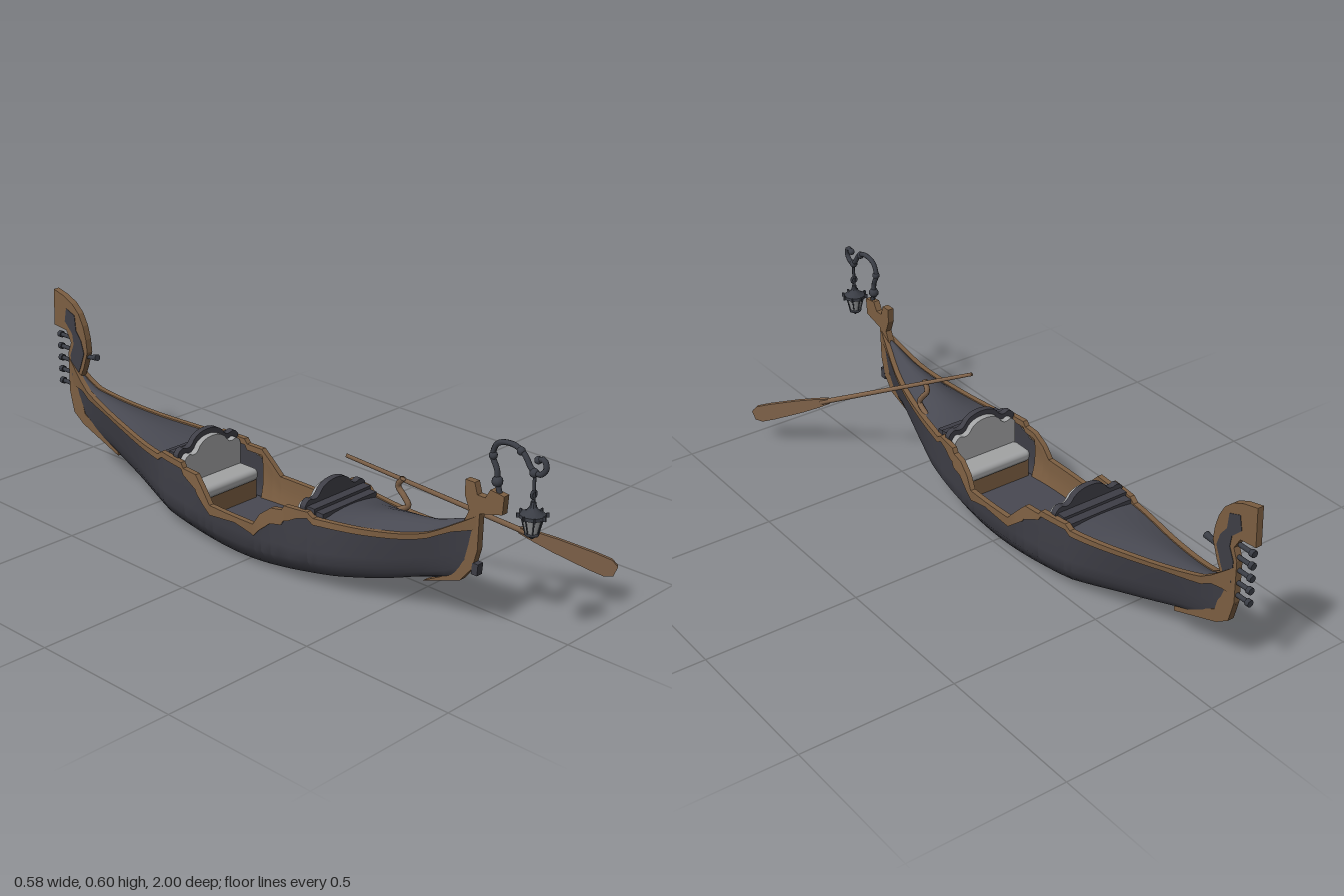
import * as THREE from 'three';
import { toCreasedNormals } from 'three/addons/utils/BufferGeometryUtils.js';
import { RoundedBoxGeometry } from 'three/addons/geometries/RoundedBoxGeometry.js';

const mat = (name, color) => new THREE.MeshStandardMaterial({ name, color, side: THREE.DoubleSide });
const V = (x, y, z) => new THREE.Vector3(x, y, z);

// piecewise linear and smooth interpolation through [position, value] pairs
const linear = (p) => (z) => {
  if (z <= p[0][0]) return p[0][1];
  for (let i = 1; i < p.length; i++) if (z <= p[i][0]) {
    return p[i - 1][1] + (p[i][1] - p[i - 1][1]) * (z - p[i - 1][0]) / (p[i][0] - p[i - 1][0]);
  }
  return p[p.length - 1][1];
};
const smooth = (p) => {
  const n = p.length - 1;
  const m = p.map((_, i) => {
    const a = p[Math.max(0, i - 1)], b = p[Math.min(n, i + 1)];
    return (b[1] - a[1]) / (b[0] - a[0]);
  });
  return (z) => {
    let i = 0;
    while (i < n - 1 && z > p[i + 1][0]) i++;
    const h = p[i + 1][0] - p[i][0], t = Math.min(1, Math.max(0, (z - p[i][0]) / h));
    return (1 + 2 * t) * (1 - t) ** 2 * p[i][1] + t * (1 - t) ** 2 * h * m[i]
      + t * t * (3 - 2 * t) * p[i + 1][1] - t * t * (1 - t) * h * m[i + 1];
  };
};

// surface through rows of cross-section points
function loft(rows, crease) {
  const pos = [], idx = [], c = rows[0].length;
  rows.forEach((r) => r.forEach((p) => pos.push(p.x, p.y, p.z)));
  for (let i = 0; i < rows.length - 1; i++) for (let j = 0; j < c - 1; j++) {
    const a = i * c + j, b = a + 1, d = a + c, e = d + 1;
    idx.push(a, b, d, b, e, d);
  }
  const g = new THREE.BufferGeometry();
  g.setAttribute('position', new THREE.Float32BufferAttribute(pos, 3));
  g.setIndex(idx);
  g.computeVertexNormals();
  return crease ? toCreasedNormals(g, crease) : g;
}

// flat plate cut in the side plane, points given as [z, y]
function plate(pts, t) {
  const s = new THREE.Shape(pts.map((p) => new THREE.Vector2(p[0], p[1])));
  return new THREE.ExtrudeGeometry(s, { depth: t, bevelEnabled: false }).rotateY(-Math.PI / 2).translate(t / 2, 0, 0);
}

// hull lines: half width, keel, sheer, sheer steps, trim depth
const W = smooth([[-.93, .007], [-.8, .032], [-.6, .077], [-.4, .125], [-.2, .148], [0, .157], [.2, .147], [.4, .11], [.6, .062], [.78, .008]]);
const K = smooth([[-.93, .25], [-.88, .175], [-.7, .11], [-.55, .07], [-.28, .02], [0, .002], [.25, .03], [.46, .07], [.6, .115], [.74, .17], [.78, .25]]);
const S = smooth([[-.93, .38], [-.87, .33], [-.82, .295], [-.6, .255], [-.3, .235], [0, .23], [.3, .235], [.47, .245], [.63, .275], [.74, .335], [.78, .36]]);
const steps = [[-.37, 0], [-.35, .015], [-.25, .015], [-.24, 0], [-.18, 0], [-.145, -.035], [-.11, -.073], [.075, -.073], [.1, -.035], [.14, -.005], [.18, 0], [.19, .015], [.27, .015], [.29, 0]];
const D = linear(steps);
const T = linear([[-.93, .1], [-.86, .03], [-.7, .016], [-.24, .02], [-.17, .05], [-.1, .03], [0, .018], [.06, .03], [.1, .05], [.2, .045], [.25, .02], [.7, .016], [.78, .04]]);
const G = (z) => S(z) + D(z);
const section = linear([[0, 0], [.07, .74], [.3, .96], [.62, 1], [1, .95]]);
function halfWidth(z, y) {
  const f = Math.max(0, (y - K(z)) / (S(z) - K(z)));
  const e = Math.min(1, Math.max(0, (Math.abs(z) - .35) / .45));
  return W(z) * (section(Math.min(1, f)) * (1 - e) + Math.min(1, f) ** .6 * e);
}
function stations(a, b) {
  const list = [a, b, ...steps.map((s) => s[0])];
  for (let z = -.92; z < .78; z += .034) list.push(z);
  return list.filter((z) => z >= a && z <= b).sort((p, q) => p - q);
}

export function createModel() {
  const root = new THREE.Group();
  root.name = 'gondola';
  root.position.x = -.13;
  const dark = mat('dark paint', 0x3e3e46), deckGrey = mat('deck grey', 0x484952);
  const wood = mat('brown wood', 0x7d5f42), oarWood = mat('oar wood', 0x80634a);
  const metal = mat('dark metal', 0x3a3d45), cushion = mat('pale cushion', 0xa2a3a4), glass = mat('lantern glass', 0x97999b);
  const add = (name, geo, m, parent = root) => {
    const mesh = new THREE.Mesh(geo, m);
    mesh.name = name;
    parent.add(mesh);
    return mesh;
  };

  // hull shell
  add('hull', loft(stations(-.93, .78).map((z) => {
    const top = (G(z) - T(z) - K(z)) / (S(z) - K(z));
    const half = [.07, .18, .3, .48].map((f) => Math.min(f, top * .95)).concat(top)
      .map((f) => { const y = K(z) + f * (S(z) - K(z)); return V(halfWidth(z, y), y, z); });
    return [...half.slice().reverse().map((p) => V(-p.x, p.y, z)), V(0, K(z), z), ...half];
  })), dark);

  // gunwale trim and inner side panels
  for (const s of [1, -1]) {
    add('gunwaleTrim', loft(stations(-.93, .78).map((z) => {
      const y = G(z), x = halfWidth(z, y), inner = Math.max(0, x - .013);
      return [V(s * (halfWidth(z, y - T(z)) + .001), y - T(z), z), V(s * (halfWidth(z, y - T(z)) + .004), y - T(z), z),
        V(s * (x + .004), y, z), V(s * inner, y, z), V(s * inner, y - .02, z)];
    }), .6), wood);
    add('innerPanel', loft(stations(-.18, .14).map((z) => [0, .33, .66, 1].map((t) => {
      const y = .065 + (G(z) - .065) * t;
      return V(s * (halfWidth(z, y) - .013), y, z);
    }))), wood);
  }

  // crowned decks
  const crown = smooth([[-.93, 0], [-.6, .012], [-.3, .008], [.25, .008], [.5, .035], [.65, .028], [.78, 0]]);
  for (const [name, a, b] of [['rearDeck', -.93, -.3], ['frontDeck', .25, .78]]) {
    add(name, loft(stations(a, b).map((z) => [-1, -.6, -.25, 0, .25, .6, 1].map((u) =>
      V(u * Math.max(0, halfWidth(z, S(z)) - .011), S(z) - .005 + crown(z) * (1 - u * u), z)))), deckGrey);
  }

  // cockpit floor
  add('floor', loft(stations(-.3, .26).map((z) => [-1, 1].map((u) => V(u * (halfWidth(z, .07) - .006), .07, z)))), deckGrey);

  // two facing benches with wavy backrests
  const wavy = (w, h, low) => {
    const s = new THREE.Shape();
    s.moveTo(-w, low);
    s.lineTo(w, low);
    s.lineTo(w, h - .052);
    s.quadraticCurveTo(w * .92, h - .034, w * .8, h - .036);
    s.quadraticCurveTo(w * .6, h - .05, w * .46, h - .02);
    s.quadraticCurveTo(w * .3, h, 0, h);
    s.quadraticCurveTo(-w * .3, h, -w * .46, h - .02);
    s.quadraticCurveTo(-w * .6, h - .05, -w * .8, h - .036);
    s.quadraticCurveTo(-w * .92, h - .034, -w, h - .052);
    return s;
  };
  for (const [name, z, turn] of [['rearBench', -.29, 0], ['frontBench', .245, Math.PI]]) {
    const b = new THREE.Group();
    b.name = name;
    b.position.z = z;
    b.rotation.y = turn;
    root.add(b);
    const ex = (d) => ({ depth: d, bevelEnabled: false, curveSegments: 6 });
    add('backrest', new THREE.ExtrudeGeometry(wavy(.125, .31, .1), ex(.02)).translate(0, 0, -.01), dark, b);
    add('backCushion', new THREE.ExtrudeGeometry(wavy(.115, .293, .14), ex(.02)).translate(0, 0, .01), cushion, b);
    add('seatCushion', new RoundedBoxGeometry(.244, .04, .085, 3, .016).translate(0, .15, .065), cushion, b);
    add('seatBase', new THREE.BoxGeometry(.24, .07, .07).translate(0, .1, .06), wood, b);
    add('upperStep', new THREE.BoxGeometry(.234, .04, .03).translate(0, .237, -.024), dark, b);
    add('lowerStep', new THREE.BoxGeometry(.222, .03, .03).translate(0, .233, -.052), dark, b);
  }

  // bow stem with forked crown
  add('bowStem', plate([[.6, .107], [.73, .152], [.77, .2], [.787, .26], [.79, .37], [.866, .39], [.87, .444], [.823, .45], [.807, .422],
    [.78, .422], [.77, .455], [.738, .455], [.738, .41], [.754, .37], [.73, .315], [.745, .22], [.7, .16]], .021), wood);
  add('stemBand', plate([[.768, .185], [.789, .185], [.792, .22], [.772, .22]], .022), dark);

  // tall stern blade with comb
  add('sternBlade', plate([[-.99, .597], [-.995, .476], [-.936, .47], [-.915, .433], [-.93, .396], [-.932, .262], [-.915, .193], [-.87, .162], [-.7, .1],
    [-.7, .115], [-.86, .2], [-.885, .3], [-.868, .335], [-.855, .36], [-.834, .417], [-.838, .46], [-.85, .503], [-.87, .54], [-.9, .567], [-.94, .585]], .021), wood);
  add('bladePatch', plate([[-.93, .545], [-.94, .5], [-.905, .465], [-.9, .43], [-.918, .39], [-.915, .32], [-.89, .32], [-.87, .36],
    [-.85, .41], [-.862, .45], [-.885, .48], [-.89, .53]], .024), dark);
  for (let i = 0; i < 5; i++) {
    const y = .285 + i * .04;
    add('combTooth', new THREE.CylinderGeometry(.007, .007, .05, 8).rotateX(Math.PI / 2).translate(0, y, -.95), metal);
    add('combKnob', new THREE.CylinderGeometry(.011, .011, .014, 8).rotateX(Math.PI / 2).translate(0, y, -.977), metal);
  }
  add('bladeSpike', new THREE.CylinderGeometry(.011, .006, .05, 8).rotateX(Math.PI / 2 - .2).translate(0, .403, -.82), metal);

  // scrolled lantern bracket
  const path = [[.85, .43], [.837, .476], [.834, .508], [.818, .545], [.834, .583], [.882, .594], [.92, .578], [.947, .543], [.973, .535], [.993, .556], [.984, .58], [.966, .574]];
  add('lanternBracket', new THREE.TubeGeometry(new THREE.CatmullRomCurve3(path.map((p) => V(0, p[1], p[0]))), 48, .008, 7), metal);
  for (const [z, y, r] of [[.837, .476, .016], [.82, .545, .012], [.955, .535, .013], [.966, .574, .011], [.91, .583, .012]]) {
    add('bracketKnob', new THREE.SphereGeometry(r, 10, 8).translate(0, y, z), metal);
  }

  // hanging lantern
  const lantern = new THREE.Group();
  lantern.name = 'lantern';
  lantern.position.z = .957;
  root.add(lantern);
  const lathe = (p, n) => new THREE.LatheGeometry(p.map((q) => new THREE.Vector2(q[0], q[1])), n);
  add('hanger', new THREE.CylinderGeometry(.005, .005, .08, 6).translate(0, .495, 0), metal, lantern);
  add('hangerRing', new THREE.TorusGeometry(.01, .004, 6, 10).translate(0, .475, 0), metal, lantern);
  add('lanternCap', toCreasedNormals(lathe([[0, .458], [.007, .455], [.01, .44], [.02, .428], [.036, .42], [.036, .41], [0, .408]], 8), .7), metal, lantern);
  add('lanternGlass', lathe([[.029, .41], [.018, .367]], 8), glass, lantern);
  add('lanternFoot', lathe([[0, .367], [.021, .368], [.02, .36], [.01, .355], [0, .347]], 8), metal, lantern);
  for (let i = 0; i < 8; i++) {
    const arm = new THREE.Group();
    arm.name = 'lanternRib';
    arm.rotation.y = i * Math.PI / 4;
    lantern.add(arm);
    add('glassBar', new THREE.CylinderGeometry(.002, .002, .046, 5).rotateZ(-.25).translate(.024, .389, 0), metal, arm);
    add('rimSpike', new THREE.BoxGeometry(.008, .013, .004).translate(.039, .417, 0), metal, arm);
  }

  // curved oar rest
  add('oarRest', new THREE.TubeGeometry(new THREE.CatmullRomCurve3(
    [V(.082, .235, .42), V(.08, .262, .462), V(.077, .285, .45), V(.073, .315, .428), V(.068, .345, .45)]), 20, .009, 7), oarWood);

  // oar: local x runs from handle to blade
  const oar = new THREE.Group();
  oar.name = 'oar';
  const dir = V(.432, -.295, .635).normalize(), side = V(dir.z, 0, -dir.x).normalize().negate();
  const up = side.clone().cross(dir);
  oar.quaternion.setFromRotationMatrix(new THREE.Matrix4().makeBasis(dir, up, side));
  oar.position.set(-.017, .4, .31);
  root.add(oar);
  add('oarShaft', new THREE.CylinderGeometry(.006, .009, .56, 8).rotateZ(Math.PI / 2).translate(.28, 0, 0), oarWood, oar);
  const edge = [[.53, .009], [.58, .016], [.64, .022], [.75, .028], [.8, .028], [.823, .016]];
  const outline = [...edge, ...edge.slice().reverse().map(([x, y]) => [x, -y])].map((p) => new THREE.Vector2(p[0], p[1]));
  add('oarBlade', new THREE.ExtrudeGeometry(new THREE.Shape(outline), { depth: .012, bevelEnabled: false }).translate(0, 0, -.006), oarWood, oar);
  return root;
}
